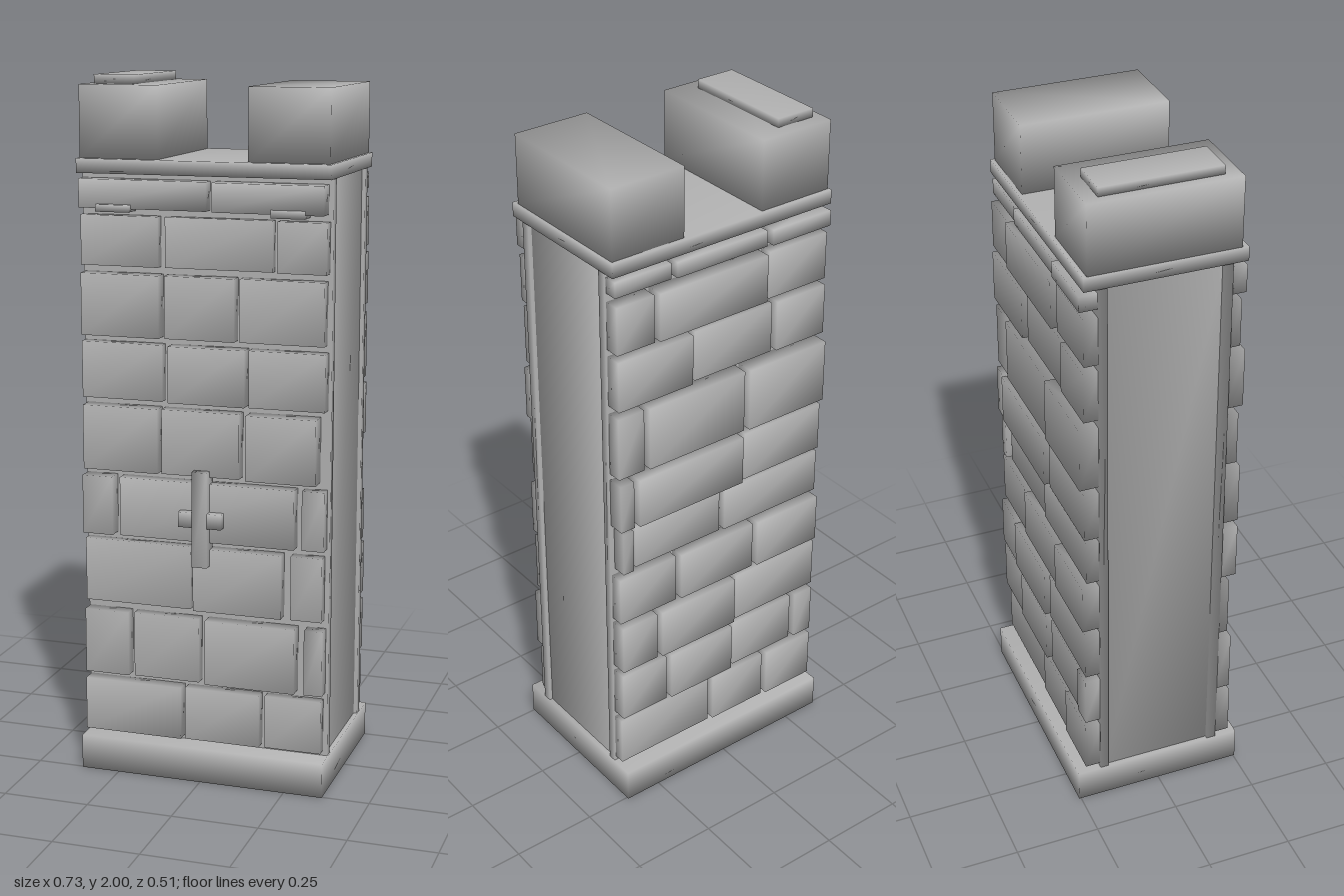
import * as THREE from 'three';
import { mergeVertices } from 'three/addons/utils/BufferGeometryUtils.js';

const stone = new THREE.MeshStandardMaterial({ color: 0xb2b2b2 });
stone.name = 'grey stone';

// Box given by its limits, with shared corners for soft shading
function block(name, x0, x1, y0, y1, z0, z1) {
  let geo = new THREE.BoxGeometry(x1 - x0, y1 - y0, z1 - z0);
  geo.deleteAttribute('normal');
  geo.deleteAttribute('uv');
  geo = mergeVertices(geo);
  geo.computeVertexNormals();
  const mesh = new THREE.Mesh(geo, stone);
  mesh.name = name;
  mesh.position.set((x0 + x1) / 2, (y0 + y1) / 2, (z0 + z1) / 2);
  return mesh;
}

// Courses: [bottom, top, depth, x edges of each brick in pairs]
const frontCourses = [
  [0.115, 0.27, 0.23, [-0.357, -0.066, -0.055, 0.167, 0.183, 0.347]],
  [0.29, 0.48, 0.233, [-0.357, -0.225, -0.209, -0.013, 0.008, 0.272, 0.299, 0.352]],
  [0.505, 0.69, 0.226, [-0.357, -0.04, -0.029, 0.23, 0.257, 0.347]],
  [0.71, 0.88, 0.233, [-0.357, -0.267, -0.246, 0.267, 0.288, 0.352]],
  [0.9, 1.085, 0.24, [-0.352, -0.13, -0.119, 0.108, 0.13, 0.331]],
  [1.105, 1.265, 0.232, [-0.357, -0.119, -0.098, 0.124, 0.135, 0.352]],
  [1.285, 1.46, 0.234, [-0.352, -0.124, -0.108, 0.093, 0.108, 0.347]],
  [1.48, 1.62, 0.222, [-0.357, -0.13, -0.111, 0.198, 0.214, 0.352]],
  [1.64, 1.72, 0.24, [-0.357, 0.013, 0.034, 0.347]],
];
const backCourses = [
  [0.115, 0.27, 0.23, [-0.355, -0.185, -0.17, 0.02, 0.035, 0.355]],
  [0.29, 0.445, 0.236, [-0.355, -0.29, -0.275, -0.055, -0.04, 0.185, 0.2, 0.355]],
  [0.465, 0.62, 0.24, [-0.355, -0.06, -0.045, 0.22, 0.235, 0.355]],
  [0.635, 0.785, 0.236, [-0.355, -0.13, -0.115, 0.145, 0.16, 0.355]],
  [0.805, 0.94, 0.228, [-0.355, -0.015, 0, 0.295, 0.31, 0.345]],
  [0.955, 1.105, 0.24, [-0.355, -0.08, -0.065, 0.295, 0.31, 0.355]],
  [1.125, 1.315, 0.24, [-0.355, -0.085, -0.07, 0.255, 0.27, 0.355]],
  [1.34, 1.49, 0.233, [-0.355, -0.185, -0.17, 0.095, 0.11, 0.355]],
  [1.51, 1.65, 0.236, [-0.355, -0.155, -0.14, 0.22, 0.235, 0.355]],
  [1.675, 1.72, 0.236, [-0.355, -0.155, -0.14, 0.16, 0.175, 0.355]],
];

function brickWall(name, courses, side) {
  const wall = new THREE.Group();
  wall.name = name;
  courses.forEach(([y0, y1, depth, edges], row) => {
    for (let i = 0; i < edges.length; i += 2) {
      // Neighbouring bricks stand out by slightly different amounts
      const z = depth - 0.006 * ((i / 2 + row) % 3);
      const [z0, z1] = side > 0 ? [0.18, z] : [-z, -0.18];
      wall.add(block('brick', edges[i], edges[i + 1], y0, y1, z0, z1));
    }
  });
  return wall;
}

export function createModel() {
  const tower = new THREE.Group();
  tower.name = 'wallTower';

  // Plinth, core and cornice
  tower.add(
    block('plinth', -0.363, 0.363, 0, 0.1, -0.256, 0.254),
    block('core', -0.35, 0.35, 0.1, 1.735, -0.165, 0.165),
    block('cornice', -0.363, 0.363, 1.735, 1.775, -0.226, 0.228),
  );

  // Mortar backing and bricks on both faces
  tower.add(
    block('frontBacking', -0.36, 0.36, 0.1, 1.735, 0.16, 0.187),
    block('backBacking', -0.36, 0.36, 0.1, 1.735, -0.185, -0.16),
    brickWall('frontBricks', frontCourses, 1),
    brickWall('backBricks', backCourses, -1),
  );

  // Battlements, one with a capstone
  tower.add(
    block('rightMerlon', -0.358, -0.13, 1.775, 1.975, -0.215, 0.211),
    block('leftMerlon', 0.128, 0.356, 1.775, 1.975, -0.215, 0.211),
    block('capstone', -0.33, -0.212, 1.975, 2, -0.174, 0.168),
  );

  // Cross-shaped loophole
  tower.add(
    block('loopholeUpright', -0.022, 0.022, 0.643, 0.918, 0.2, 0.254),
    block('loopholeBar', -0.063, 0.063, 0.757, 0.8, 0.2, 0.252),
  );

  // Small ledges under the cornice
  tower.add(
    block('rightLedge', -0.302, -0.204, 1.632, 1.652, 0.18, 0.244),
    block('leftLedge', 0.2, 0.296, 1.63, 1.652, 0.18, 0.242),
  );
  return tower;
}
